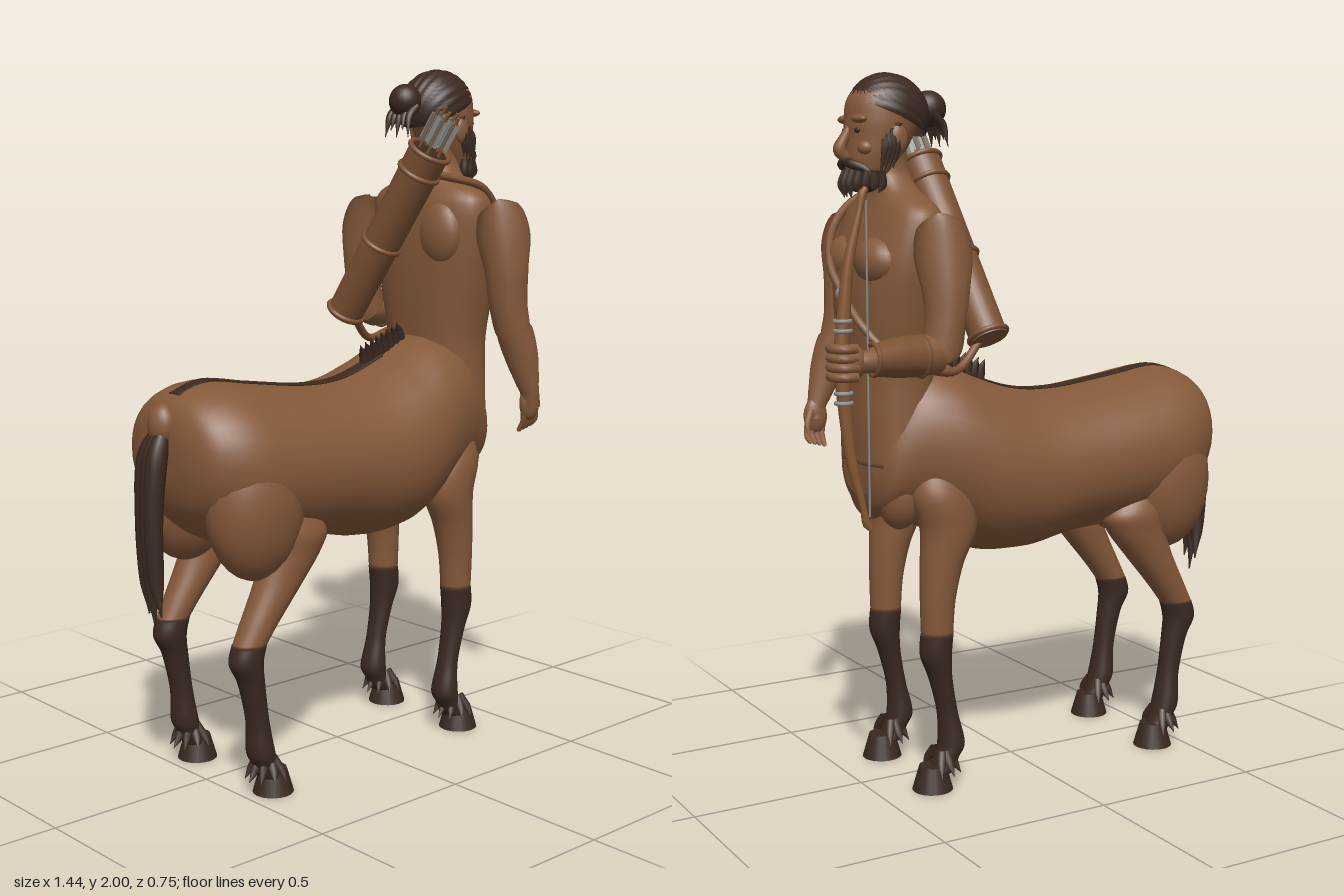
import * as THREE from 'three';

const mat = (name, color, side = THREE.FrontSide) => {
  const m = new THREE.MeshStandardMaterial({ color, side });
  m.name = name;
  return m;
};

// Catmull-Rom blend of rows of numbers at u in 0..1
function blend(rows, u) {
  const n = rows.length - 1, f = Math.min(u * n, n - 1e-6), i = Math.floor(f), t = f - i;
  const at = k => rows[Math.max(0, Math.min(n, k))];
  const [a, b, c, d] = [at(i - 1), at(i), at(i + 1), at(i + 2)];
  return b.map((v, k) => 0.5 * (2 * v + (c[k] - a[k]) * t + (2 * a[k] - 5 * v + 4 * c[k] - d[k]) * t * t
    + (3 * v - a[k] - 3 * c[k] + d[k]) * t ** 3));
}

// Skin over oval sections: rows are [along, centre, z centre, half size, half depth]
function loft(rows, axis, power = 2, steps = 6, seg = 32) {
  const pos = [], idx = [], n = (rows.length - 1) * steps;
  const put = (s, o, z) => axis === 'x' ? pos.push(s, o, z) : pos.push(o, s, z);
  const se = v => Math.sign(v) * Math.abs(v) ** (2 / power);
  for (let i = 0; i <= n; i++) {
    const [s, o, z, h, d] = blend(rows, i / n);
    for (let j = 0; j < seg; j++) {
      const a = j / seg * Math.PI * 2;
      put(s, o + Math.max(h, 0.001) * se(Math.cos(a)), z + Math.max(d, 0.001) * se(Math.sin(a)));
    }
  }
  const flip = axis === 'x';
  const tri = (a, b, c) => flip ? idx.push(a, c, b) : idx.push(a, b, c);
  for (let i = 0; i < n; i++) for (let j = 0; j < seg; j++) {
    const a = i * seg + j, b = i * seg + (j + 1) % seg;
    tri(a, a + seg, b); tri(b, a + seg, b + seg);
  }
  for (const [r, up] of [[rows[0], false], [rows[rows.length - 1], true]]) {
    const c = pos.length / 3, base = up ? n * seg : 0;
    put(r[0], r[1], r[2]);
    for (let j = 0; j < seg; j++) {
      const a = base + j, b = base + (j + 1) % seg;
      up ? tri(a, c, b) : tri(a, b, c);
    }
  }
  const g = new THREE.BufferGeometry();
  g.setAttribute('position', new THREE.Float32BufferAttribute(pos, 3));
  g.setIndex(idx);
  g.computeVertexNormals();
  return g;
}

// Tube of changing radius through [x, y, z, r]
function limb(pts, seg = 16, steps = 6) {
  const curve = new THREE.CatmullRomCurve3(pts.map(p => new THREE.Vector3(p[0], p[1], p[2])));
  const n = (pts.length - 1) * steps, g = new THREE.TubeGeometry(curve, n, 1, seg);
  const p = g.attributes.position, v = new THREE.Vector3();
  for (let i = 0; i <= n; i++) {
    const c = curve.getPointAt(i / n), r = Math.max(0.0005, blend(pts, curve.getUtoTmapping(i / n))[3]);
    for (let j = 0; j <= seg; j++) {
      const k = i * (seg + 1) + j;
      v.fromBufferAttribute(p, k).sub(c).multiplyScalar(r).add(c);
      p.setXYZ(k, v.x, v.y, v.z);
    }
  }
  return g;
}

const ball = (x, y, z, a, b, c) => new THREE.SphereGeometry(1, 24, 16).scale(a, b, c).translate(x, y, z);

export function createModel() {
  const skin = mat('brown skin', 0x85593a), dark = mat('dark hair', 0x3a2920, THREE.DoubleSide);
  const leather = mat('leather', 0x7c5133), wood = mat('bow wood', 0x875833);
  const metal = mat('grey metal', 0x8d8f8c, THREE.DoubleSide);
  const model = new THREE.Group();
  const body = new THREE.Group();
  body.name = 'figure';
  body.position.z = 0.015;
  model.add(body);
  const add = (name, g, m, parent = body) => {
    const mesh = new THREE.Mesh(g, m);
    mesh.name = name;
    parent.add(mesh);
    return mesh;
  };

  // Horse barrel, dorsal stripe, mane and tail
  const barrel = [[-.65, .97, 0, .02, .03], [-.64, .965, 0, .1, .12], [-.6, .95, 0, .17, .2], [-.5, .925, 0, .223, .255],
    [-.35, .905, 0, .222, .27], [-.15, .885, 0, .217, .27], [0, .875, 0, .235, .27], [.15, .905, 0, .255, .265],
    [.27, .96, 0, .25, .24], [.38, .98, 0, .22, .2], [.46, .93, 0, .15, .16], [.49, .9, 0, .06, .09]];
  add('horseBody', loft(barrel, 'x', 2.1), skin);
  add('backStripe', loft(barrel.slice(2, 8).map(r => [r[0], r[1] + r[3], 0, .005, .024]), 'x', 2, 6, 10), dark);
  for (let i = 0; i < 8; i++) {
    const x = .09 + i * .021, y = 1.14 + i * .008;
    add('maneTuft', limb([[x + .01, y - .02, 0, .016], [x, y + .03, 0, .012], [x - .012, y + .055, 0, .001]], 8), dark);
  }
  add('tailRoot', ball(-.64, 1.04, 0, .04, .06, .045), skin);
  for (const z of [-.02, 0, .02])
    add('tail', limb([[-.645, 1.03, z * .5, .02], [-.675, .96, z, .03], [-.69, .8, z, .027], [-.685, .62, z, .022],
      [-.675, .48 + Math.abs(z) * 2, z * 1.4, .002]]), dark);

  // Legs, hooves and feathering
  for (const s of [-1, 1]) {
    const z = s * .16, r = s * .175;
    add('frontLegUpper', loft([[.45, .328, z, .045, .047], [.55, .325, z, .05, .052], [.65, .312, z, .062, .06],
      [.75, .29, z, .083, .07], [.85, .31, z * .95, .09, .075], [.94, .33, z * .85, .05, .05]], 'y'), skin);
    add('frontLegLower', loft([[.05, .32, z, .035, .04], [.09, .3, z, .036, .04], [.13, .285, z, .038, .043],
      [.22, .297, z, .029, .034], [.32, .318, z, .033, .038], [.39, .332, z, .045, .046], [.45, .328, z, .046, .048]], 'y'), dark);
    add('haunch', ball(-.45, .82, s * .155, .15, .21, .115), skin);
    add('rearLegUpper', loft([[.44, -.49, r, .05, .044], [.5, -.452, r, .058, .05], [.6, -.385, r, .076, .06],
      [.68, -.34, r, .095, .068], [.74, -.33, r, .1, .07], [.82, -.37, r * .9, .06, .05]], 'y'), skin);
    add('rearLegLower', loft([[.05, -.42, r, .035, .04], [.09, -.44, r, .036, .04], [.13, -.455, r, .039, .043],
      [.22, -.465, r, .032, .035], [.33, -.485, r, .038, .038], [.39, -.502, r, .05, .045], [.44, -.49, r, .051, .045]], 'y'), dark);
    add('chestMuscle', ball(.405, .845, s * .085, .062, .1, .075), skin);
    for (const [hx, hz] of [[.345, z], [-.41, r]]) {
      add('hoof', new THREE.CylinderGeometry(.038, .058, .07, 20).translate(hx, .035, hz), dark);
      for (let i = 0; i < 7; i++) {
        const a = Math.PI * (.4 + i * .2), c = Math.cos(a), d = Math.sin(a);
        add('fetlockTuft', limb([[hx - .025 + c * .02, .11, hz + d * .025, .013], [hx - .02 + c * .045, .075, hz + d * .045, .012],
          [hx - .02 + c * .065, .045, hz + d * .06, .001]], 6, 3), dark);
      }
    }
  }

  // Human torso and neck
  add('torso', loft([[.93, .4, 0, .105, .176], [1.05, .4, 0, .11, .168], [1.2, .395, 0, .115, .168], [1.35, .395, 0, .125, .195],
    [1.48, .39, 0, .122, .218], [1.59, .375, 0, .1, .222], [1.64, .372, 0, .082, .195], [1.68, .378, 0, .066, .11],
    [1.73, .39, 0, .06, .066], [1.8, .4, 0, .06, .065]], 'y', 2.3), skin);
  for (const s of [-1, 1]) {
    add('pectoral', ball(.462, 1.49, s * .09, .062, .07, .088), skin);
    add('shoulderBlade', ball(.31, 1.52, s * .1, .05, .1, .08), skin);
  }

  // Hanging left arm
  add('leftUpperArm', limb([[.37, 1.62, .27, .01], [.37, 1.595, .28, .06], [.37, 1.52, .295, .078], [.375, 1.42, .305, .064],
    [.385, 1.32, .305, .056], [.405, 1.23, .31, .048], [.415, 1.2, .31, .005]]), skin);
  add('leftForearm', limb([[.4, 1.27, .31, .01], [.405, 1.25, .31, .05], [.43, 1.17, .318, .05], [.458, 1.08, .322, .034],
    [.468, 1.05, .322, .028], [.475, 1.01, .318, .03]]), skin);
  add('leftHand', ball(.475, 1.02, .315, .036, .055, .024), skin);
  for (let i = 0; i < 4; i++)
    add('leftFinger', limb([[.452 + i * .016, 1.0, .315, .01], [.458 + i * .016, .965, .308, .009],
      [.458 + i * .015, .935 + i * .004, .29, .007], [.458 + i * .015, .93 + i * .004, .286, .001]], 8, 4), skin);
  add('leftThumb', limb([[.49, 1.04, .305, .012], [.508, 1.0, .295, .01], [.51, .97, .285, .002]], 8), skin);

  // Bent right arm with bracer
  add('rightUpperArm', limb([[.37, 1.62, -.26, .01], [.37, 1.595, -.27, .06], [.37, 1.52, -.285, .078], [.37, 1.42, -.3, .064],
    [.375, 1.34, -.305, .055], [.39, 1.26, -.305, .052], [.405, 1.215, -.305, .005]]), skin);
  add('rightForearm', limb([[.37, 1.26, -.305, .01], [.4, 1.257, -.305, .05], [.47, 1.255, -.315, .052], [.56, 1.255, -.325, .042],
    [.62, 1.25, -.33, .03], [.67, 1.25, -.32, .028]]), skin);
  add('bracer', limb([[.45, 1.255, -.312, .056], [.53, 1.255, -.322, .053], [.6, 1.252, -.33, .042]], 20), leather);
  for (const [x, z, r] of [[.455, -.313, .054], [.6, -.33, .041]])
    add('bracerBand', new THREE.TorusGeometry(r, .006, 8, 24).rotateY(Math.PI / 2).translate(x, 1.254, z), leather);
  add('rightHand', ball(.66, 1.25, -.325, .042, .046, .036), skin);
  for (let i = 0; i < 4; i++) {
    const y = 1.287 - i * .024;
    add('rightFinger', limb([[.655, y, -.35, .013], [.69, y, -.35, .013], [.71, y, -.32, .013], [.695, y, -.283, .012],
      [.665, y, -.28, .002]], 10, 4), skin);
  }

  // Bow with string and grip rings
  const bow = new THREE.Group();
  bow.name = 'bow';
  bow.position.set(0, 1.25, -.31);
  body.add(bow);
  add('bowStave', limb([[.605, .44, 0, .008], [.615, .425, 0, .012], [.622, .39, 0, .009], [.655, .26, 0, .014], [.672, .12, 0, .018],
    [.68, 0, 0, .02], [.672, -.12, 0, .018], [.655, -.26, 0, .014], [.622, -.39, 0, .009], [.615, -.425, 0, .012],
    [.605, -.44, 0, .008]], 12), wood, bow);
  add('bowString', new THREE.CylinderGeometry(.003, .003, .82, 6).translate(.605, 0, 0), metal, bow);
  for (const y of [-.105, -.08, .08, .105])
    add('gripRing', new THREE.TorusGeometry(.02, .006, 8, 20).rotateX(Math.PI / 2).translate(.675, y, 0), metal, bow);

  // Quiver, arrows and strap
  const quiver = new THREE.Group(), low = new THREE.Vector3(.15, 1.27, -.15), high = new THREE.Vector3(.2, 1.76, .16);
  const len = low.distanceTo(high);
  quiver.name = 'quiver';
  quiver.position.copy(low);
  quiver.quaternion.setFromUnitVectors(new THREE.Vector3(0, 1, 0), high.clone().sub(low).normalize());
  body.add(quiver);
  add('quiverCase', new THREE.CylinderGeometry(.06, .054, len, 28).translate(0, len / 2, 0), leather, quiver);
  add('quiverMouth', new THREE.CircleGeometry(.052, 24).rotateX(-Math.PI / 2).translate(0, len + .002, 0), dark, quiver);
  for (const f of [.02, .45, .88, 1])
    add('quiverBand', new THREE.TorusGeometry(.055 + f * .005, .008, 8, 28).rotateX(Math.PI / 2).translate(0, len * f, 0), leather, quiver);
  for (let i = 0; i < 6; i++) {
    const a = i / 5 * Math.PI * 2, r = i < 5 ? .032 : 0, x = r * Math.cos(a), z = r * Math.sin(a);
    add('arrowShaft', new THREE.CylinderGeometry(.005, .005, .16, 8).translate(x, len + .05, z), wood, quiver);
    for (let k = 0; k < 3; k++)
      add('arrowFeather', new THREE.PlaneGeometry(.03, .085).rotateY(k * Math.PI / 3 + i).translate(x, len + .068, z), metal, quiver);
  }
  add('strap', limb([[.22, 1.7, .11], [.3, 1.685, .14], [.4, 1.655, .18], [.475, 1.58, .165], [.527, 1.48, .08], [.527, 1.4, 0],
    [.515, 1.32, -.09], [.46, 1.24, -.165], [.36, 1.2, -.185], [.26, 1.19, -.16], [.16, 1.27, -.12]].map(p => [...p, .012]), 8), leather);
  add('strapBuckle', ball(.532, 1.4, 0, .014, .02, .027), metal);

  // Head and face
  add('head', loft([[1.69, .45, 0, .035, .04], [1.72, .445, 0, .06, .062], [1.77, .43, 0, .08, .08], [1.82, .415, 0, .093, .09],
    [1.87, .405, 0, .104, .095], [1.93, .4, 0, .098, .089], [1.97, .385, 0, .07, .065], [1.985, .38, 0, .02, .02]], 'y'), skin);
  add('nose', limb([[.495, 1.86, 0, .01], [.515, 1.825, 0, .014], [.53, 1.79, 0, .019], [.515, 1.772, 0, .014], [.49, 1.77, 0, .002]], 12), skin);
  for (const s of [-1, 1]) {
    add('ear', ball(.4, 1.82, s * .095, .026, .038, .014), skin);
    add('brow', ball(.492, 1.872, s * .042, .017, .012, .036), skin);
    add('cheek', ball(.475, 1.795, s * .048, .024, .022, .025), skin);
    add('eye', ball(.496, 1.842, s * .038, .007, .008, .013), dark);
    add('moustache', limb([[.515, 1.758, 0, .012], [.51, 1.752, s * .03, .014], [.48, 1.735, s * .062, .01], [.465, 1.71, s * .07, .001]], 8), dark);
    for (let i = 0; i < 4; i++)
      add('sideLock', limb([[.4 + i * .012, 1.86 - i * .015, s * .09, .012], [.405 + i * .012, 1.8, s * .097, .012],
        [.415 + i * .014, 1.74 - i * .01, s * .09, .001]], 8), dark);
  }
  add('beard', ball(.462, 1.712, 0, .053, .038, .068), dark);
  for (let i = 0; i < 11; i++) {
    const a = (i / 10 - .5) * Math.PI * 1.1, x = .45 + .055 * Math.cos(a), z = .07 * Math.sin(a);
    add('beardLock', limb([[x, 1.735, z, .012], [x + .012 * Math.cos(a), 1.695, z, .014],
      [x + .006, 1.655 + .02 * Math.abs(Math.sin(a)) + (i % 2) * .008, z * .9, .001]], 8), dark);
  }

  // Combed hair with ridges, bun and loose locks
  const cap = new THREE.SphereGeometry(1, 96, 24, 0, Math.PI * 2, 0, Math.PI * .53), p = cap.attributes.position;
  for (let i = 0; i < p.count; i++) {
    const k = 1 + .018 * Math.cos(30 * Math.atan2(p.getZ(i), p.getY(i) + .3));
    p.setXYZ(i, p.getX(i) * k, p.getY(i) * k, p.getZ(i) * k);
  }
  cap.scale(.118, .112, .103).rotateZ(.42).translate(.385, 1.885, 0);
  cap.computeVertexNormals();
  add('hair', cap, dark);
  add('hairBun', ball(.258, 1.905, 0, .05, .05, .048), dark);
  for (let i = 0; i < 5; i++) {
    const z = (i - 2) * .02;
    add('looseLock', limb([[.265, 1.89, z, .012], [.235, 1.86, z, .012], [.222, 1.8 + (i % 2) * .02, z * 1.2, .001]], 8), dark);
  }
  return model;
}
